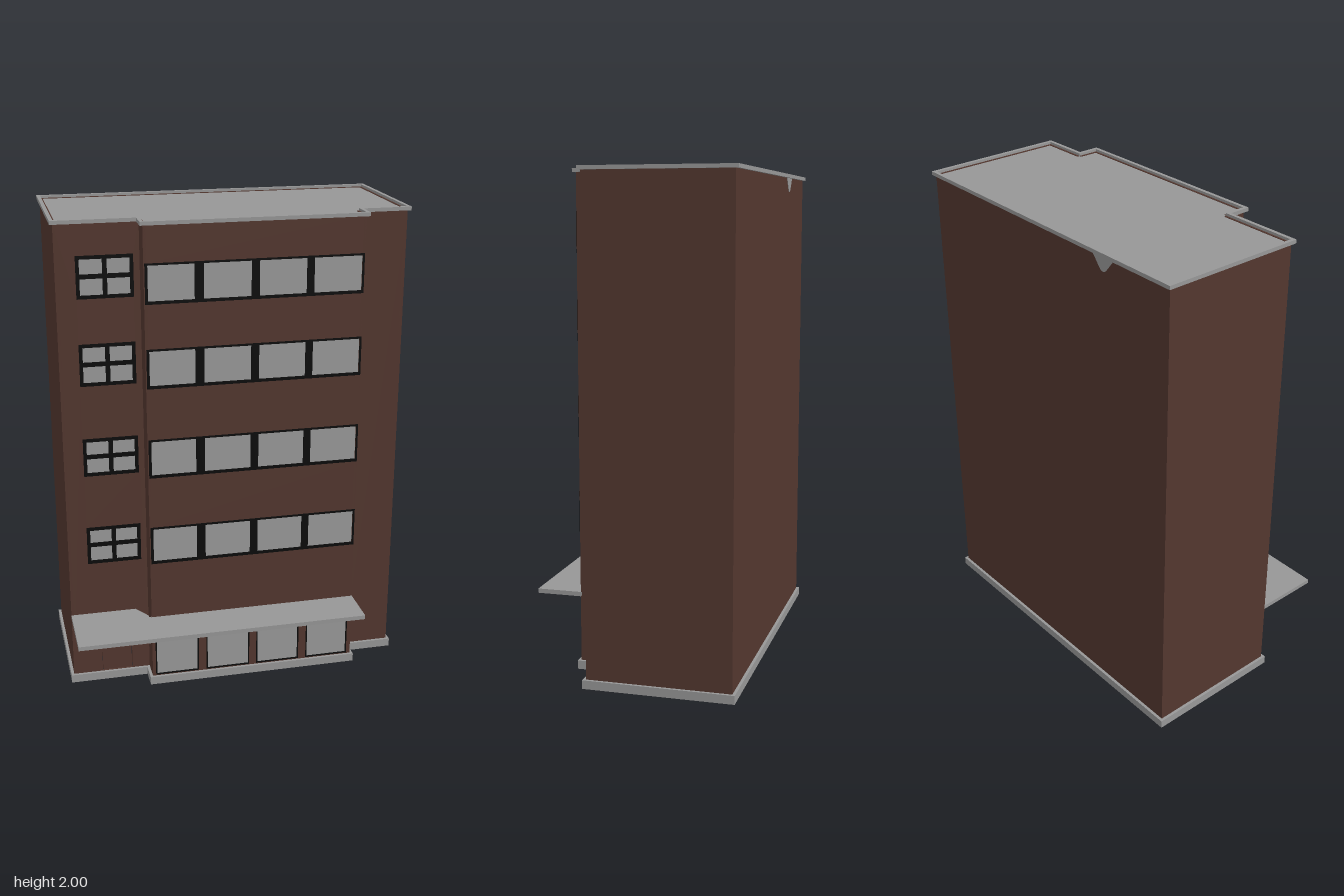
import * as THREE from 'three';

const mat = (name, color) => {
  const m = new THREE.MeshStandardMaterial({ color });
  m.name = name;
  return m;
};

export function createModel() {
  const brick = mat('brick', 0x53372f);
  const concrete = mat('concrete', 0x979797);
  const glass = mat('glass', 0x9a9a9a);
  const black = mat('frameBlack', 0x0b0b0b);

  const model = new THREE.Group();
  model.name = 'building';

  const add = (parent, name, geometry, material, x = 0, y = 0, z = 0) => {
    const mesh = new THREE.Mesh(geometry, material);
    mesh.name = name;
    mesh.position.set(x, y, z);
    parent.add(mesh);
    return mesh;
  };
  const extrude = (shape, depth) => new THREE.ExtrudeGeometry(shape, { depth, bevelEnabled: false });
  const polygon = pts => new THREE.Shape(pts.map(p => new THREE.Vector2(...p)));
  const rect = ([x0, x1, y0, y1]) => [[x0, y0], [x1, y0], [x1, y1], [x0, y1]];
  const plate = (outer, holes, depth) => {
    const s = polygon(rect(outer));
    s.holes = holes.map(h => polygon(rect(h)));
    return extrude(s, depth);
  };

  // Footprint as [x, z], counter-clockwise from above, moved outward by d
  const footprint = d => [
    [-0.71 - d, 0.16 + d], [-0.38 - d, 0.16 + d], [-0.38 - d, 0.25 + d], [0.508 + d, 0.25 + d],
    [0.508 + d, 0.16 + d], [0.71 + d, 0.16 + d], [0.71 + d, -0.423 - d], [-0.71 - d, -0.423 - d],
  ];
  // Horizontal slab or ring from a plan outline
  const slab = (name, pts, y, height, hole) => {
    const plan = p => p.map(([x, z]) => [x, -z]);
    const s = polygon(plan(pts));
    if (hole) s.holes = [polygon(plan(hole))];
    const g = extrude(s, height);
    g.rotateX(-Math.PI / 2);
    return add(model, name, g, concrete, 0, y, 0);
  };

  slab('plinth', footprint(0.012), 0, 0.035, footprint(-0.012));
  slab('roof', footprint(-0.003), 1.978, 0.01);
  slab('roofRim', footprint(0.012), 1.985, 0.015, footprint(-0.003));

  // Canopy with a clipped inner corner
  slab('canopy', [[-0.71, 0.16], [-0.435, 0.16], [-0.39, 0.232], [-0.39, 0.245],
    [0.508, 0.245], [0.508, 0.433], [-0.71, 0.433]], 0.302, 0.018);

  // Window openings as [x0, x1, y0, y1]
  const bandRows = [[0.57, 0.735], [0.955, 1.12], [1.335, 1.497], [1.677, 1.838]];
  const smallRows = [[0.555, 0.72], [0.95, 1.112], [1.335, 1.508], [1.69, 1.86]];
  const bands = bandRows.map(r => [-0.376, 0.505, ...r]);
  const smalls = smallRows.map(r => [-0.63, -0.405, ...r]);
  const shops = [[-0.366, -0.178], [-0.144, 0.046], [0.078, 0.268], [0.302, 0.49]]
    .map(r => [...r, 0.04, 0.283]);
  const door = [-0.585, -0.455, 0.036, 0.265];

  // Wall segments round the footprint; openings only in the two front bays
  const walls = new THREE.Group();
  walls.name = 'walls';
  model.add(walls);
  const openings = { 0: [...smalls, door], 2: [...bands, ...shops] };
  const corners = footprint(0);
  corners.forEach(([ax, az], i) => {
    const [bx, bz] = corners[(i + 1) % corners.length];
    const length = Math.hypot(bx - ax, bz - az);
    const holes = (openings[i] || []).map(([x0, x1, y0, y1]) => [x0 - ax, x1 - ax, y0, y1]);
    const g = plate([0, length, 0.02, 1.99], holes, 0.012);
    g.translate(0, 0, -0.012);
    add(walls, 'wall', g, brick, ax, 0, az).rotation.y = Math.atan2(az - bz, bx - ax);
  });

  // Framed window: black frame with holes and one glass sheet behind it
  const addWindow = (name, o, panes, z) => {
    const group = new THREE.Group();
    group.name = name;
    model.add(group);
    add(group, 'frame', plate(o, panes, 0.012), black, 0, 0, z - 0.009);
    const [x0, x1, y0, y1] = o;
    add(group, 'glass', new THREE.BoxGeometry(x1 - x0 - 0.004, y1 - y0 - 0.004, 0.005), glass,
      (x0 + x1) / 2, (y0 + y1) / 2, z - 0.004);
  };

  // Wide window bands of the projecting bay
  const bandPanes = [[-0.365, -0.181], [-0.145, 0.046], [0.078, 0.27], [0.3, 0.497]];
  bands.forEach(o => addWindow('bandWindow', o,
    bandPanes.map(p => [...p, o[2] + 0.012, o[3] - 0.008]), 0.25));

  // Four-pane windows of the recessed bay
  smalls.forEach(o => {
    const [x0, x1, y0, y1] = o;
    const cx = (x0 + x1) / 2, cy = (y0 + y1) / 2 + 0.003, t = 0.014, m = 0.009;
    const panes = [];
    for (const xs of [[x0 + t, cx - m], [cx + m, x1 - t]])
      for (const ys of [[y0 + t, cy - m], [cy + m, y1 - t]]) panes.push([...xs, ...ys]);
    addWindow('crossWindow', o, panes, 0.16);
  });

  // Ground-floor shop windows
  shops.forEach(o => addWindow('shopWindow', o,
    [[o[0] + 0.005, o[1] - 0.005, o[2] + 0.005, o[3] - 0.004]], 0.25));

  // Recessed entrance door with a dark lintel
  add(model, 'door', new THREE.BoxGeometry(0.126, 0.226, 0.006), brick, -0.52, 0.15, 0.152);
  add(model, 'doorLintel', new THREE.BoxGeometry(0.125, 0.01, 0.022), black, -0.515, 0.288, 0.158);

  // Bare patch below the rim on the back wall
  const patch = new THREE.Shape();
  patch.moveTo(-0.06, 0);
  patch.lineTo(-0.015, -0.055);
  patch.quadraticCurveTo(0, -0.065, 0.015, -0.055);
  patch.lineTo(0.06, 0);
  add(model, 'barePatch', extrude(patch, 0.002), concrete, -0.36, 1.985, -0.423).rotation.y = Math.PI;

  return model;
}
